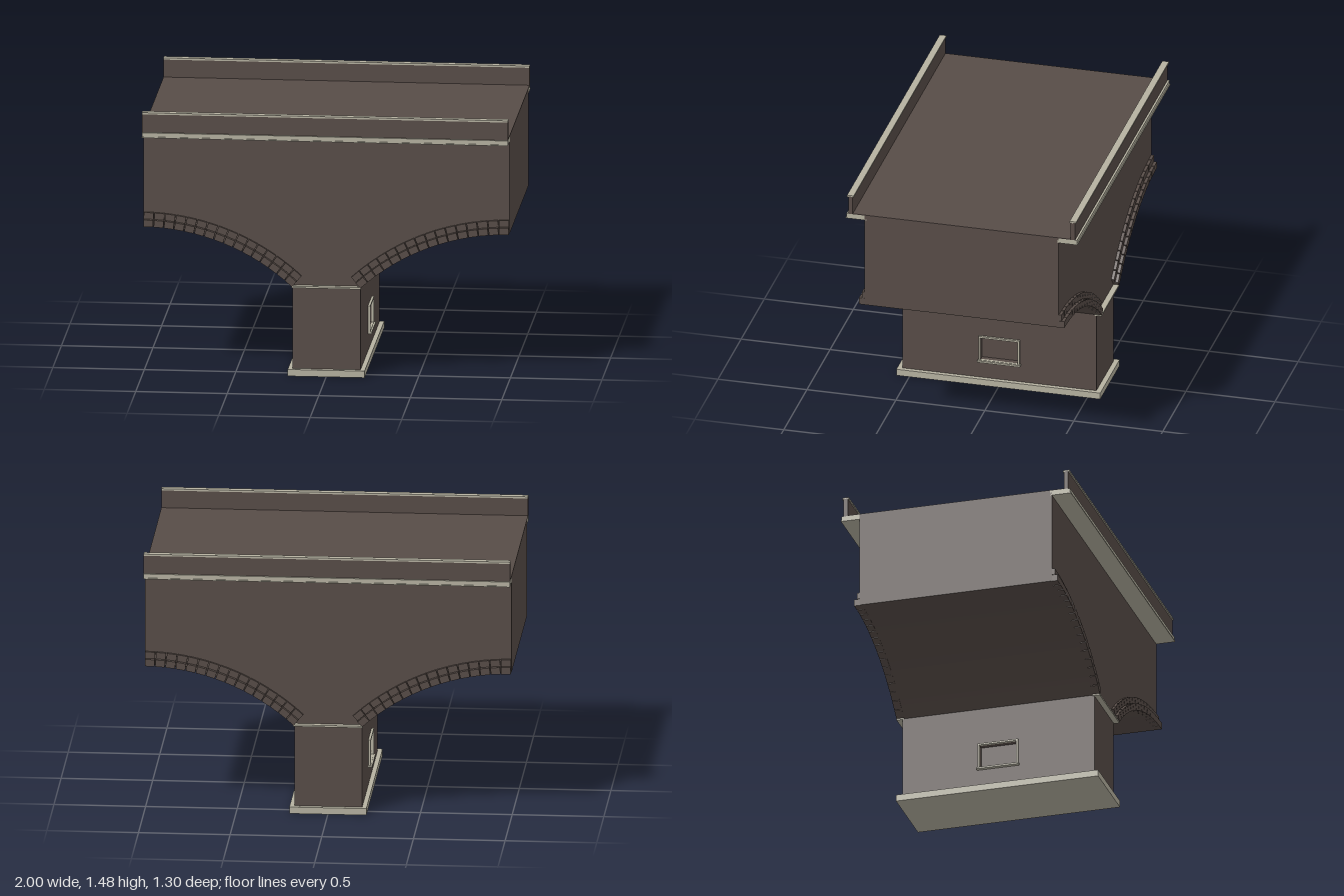
import * as THREE from 'three';

const stone = new THREE.MeshStandardMaterial({ color: 0x574c47 });
const trim = new THREE.MeshStandardMaterial({ color: 0xb5b1a0 });

const PIER = 0.185, SPRING = 0.5, TOP = 1.363, HALF_Z = 0.545;
// Arch circle: crown at (1, 0.82), springing at (PIER, SPRING)
const R = 1.198, CY = 0.82 - R, SWEEP = Math.asin((1 - PIER) / R);
const RECESS = 0.03;

export function createModel() {
  const root = new THREE.Group();

  function add(parent, name, geometry, material) {
    const mesh = new THREE.Mesh(geometry, material);
    mesh.name = name;
    parent.add(mesh);
    return mesh;
  }
  // Box given by its limits on each axis
  function box(parent, name, material, x0, x1, y0, y1, z0, z1) {
    const mesh = add(parent, name, new THREE.BoxGeometry(x1 - x0, y1 - y0, z1 - z0), material);
    mesh.position.set((x0 + x1) / 2, (y0 + y1) / 2, (z0 + z1) / 2);
    return mesh;
  }
  function rect(target, x0, x1, y0, y1) {
    target.moveTo(x0, y0).lineTo(x1, y0).lineTo(x1, y1).lineTo(x0, y1).closePath();
    return target;
  }
  // Rectangular panel with an opening, facing +z, extruded from z = 0
  function openPanel(outer, inner, depth) {
    const shape = rect(new THREE.Shape(), ...outer);
    shape.holes.push(rect(new THREE.Path(), ...inner));
    return new THREE.ExtrudeGeometry(shape, { depth, bevelEnabled: false });
  }

  // Spandrel body with half an arch on each side and the pier core below
  const core = PIER - RECESS;
  const profile = new THREE.Shape();
  profile.moveTo(-core, 0.01).lineTo(core, 0.01).lineTo(core, SPRING).lineTo(PIER, SPRING);
  const steps = 32;
  for (let i = 1; i <= steps; i++) {
    const a = SWEEP * (1 - i / steps);
    profile.lineTo(1 - R * Math.sin(a), CY + R * Math.cos(a));
  }
  profile.lineTo(1, TOP).lineTo(-1, TOP);
  for (let i = 0; i <= steps; i++) {
    const a = SWEEP * i / steps;
    profile.lineTo(-1 + R * Math.sin(a), CY + R * Math.cos(a));
  }
  profile.lineTo(-core, SPRING).closePath();
  const body = new THREE.ExtrudeGeometry(profile, { depth: 2 * HALF_Z, bevelEnabled: false });
  body.translate(0, 0, -HALF_Z);
  add(root, 'archBody', body, stone);

  // Pier footing and road deck
  box(root, 'footing', trim, -0.21, 0.21, 0, 0.037, -0.573, 0.573);
  box(root, 'deck', stone, -1, 1, TOP, TOP + 0.003, -0.612, 0.612);

  // Pier side walls with a recessed, framed niche
  for (const s of [1, -1]) {
    const side = new THREE.Group();
    side.name = s > 0 ? 'leftPierSide' : 'rightPierSide';
    side.rotation.y = s * Math.PI / 2;
    root.add(side);
    const opening = [-0.105, 0.105, 0.147, 0.28];
    const wall = add(side, 'pierWall', openPanel([-HALF_Z, HALF_Z, 0.01, SPRING], opening, RECESS), stone);
    wall.position.z = core;
    const frame = add(side, 'nicheFrame', openPanel([-0.115, 0.115, 0.137, 0.29], opening, 0.015), trim);
    frame.position.z = PIER - 0.002;
    box(side, 'nicheSill', trim, -0.12, 0.12, 0.135, 0.145, PIER - 0.002, 0.207);
  }

  // Front and back faces share the same dressing
  for (const f of [1, -1]) {
    const face = new THREE.Group();
    face.name = f > 0 ? 'frontFace' : 'backFace';
    if (f < 0) face.rotation.y = Math.PI;
    root.add(face);

    box(face, 'springingBand', trim, -0.19, 0.19, 0.495, 0.505, HALF_Z - 0.01, 0.576);
    box(face, 'cornice', trim, -1, 1, 1.34, TOP, HALF_Z - 0.01, 0.648);
    box(face, 'corniceLip', trim, -1, 1, 1.335, 1.341, HALF_Z - 0.01, 0.652);
    box(face, 'parapet', stone, -1, 1, TOP, 1.468, 0.613, 0.637);
    box(face, 'parapetCap', trim, -1, 1, 1.465, 1.475, 0.607, 0.644);

    // Two rings of arch stones, the inner one standing further out
    const count = 16, pitch = SWEEP / count;
    const rings = [
      { name: 'innerArchStone', r0: R - 0.001, r1: R + 0.037, z: 0.577 },
      { name: 'outerArchStone', r0: R + 0.039, r1: R + 0.075, z: 0.561 },
    ];
    for (const s of [1, -1]) {
      for (const ring of rings) {
        const r = (ring.r0 + ring.r1) / 2;
        for (let i = 0; i < count; i++) {
          const a = (i + 0.5) * pitch;
          const w = r * pitch - 0.005;
          const block = box(face, ring.name, stone, -w / 2, w / 2, ring.r0, ring.r1, HALF_Z - 0.01, ring.z);
          block.position.x = s * (1 - r * Math.sin(a));
          block.position.y = CY + r * Math.cos(a);
          block.rotation.z = s * a;
        }
      }
    }
  }
  return root;
}
